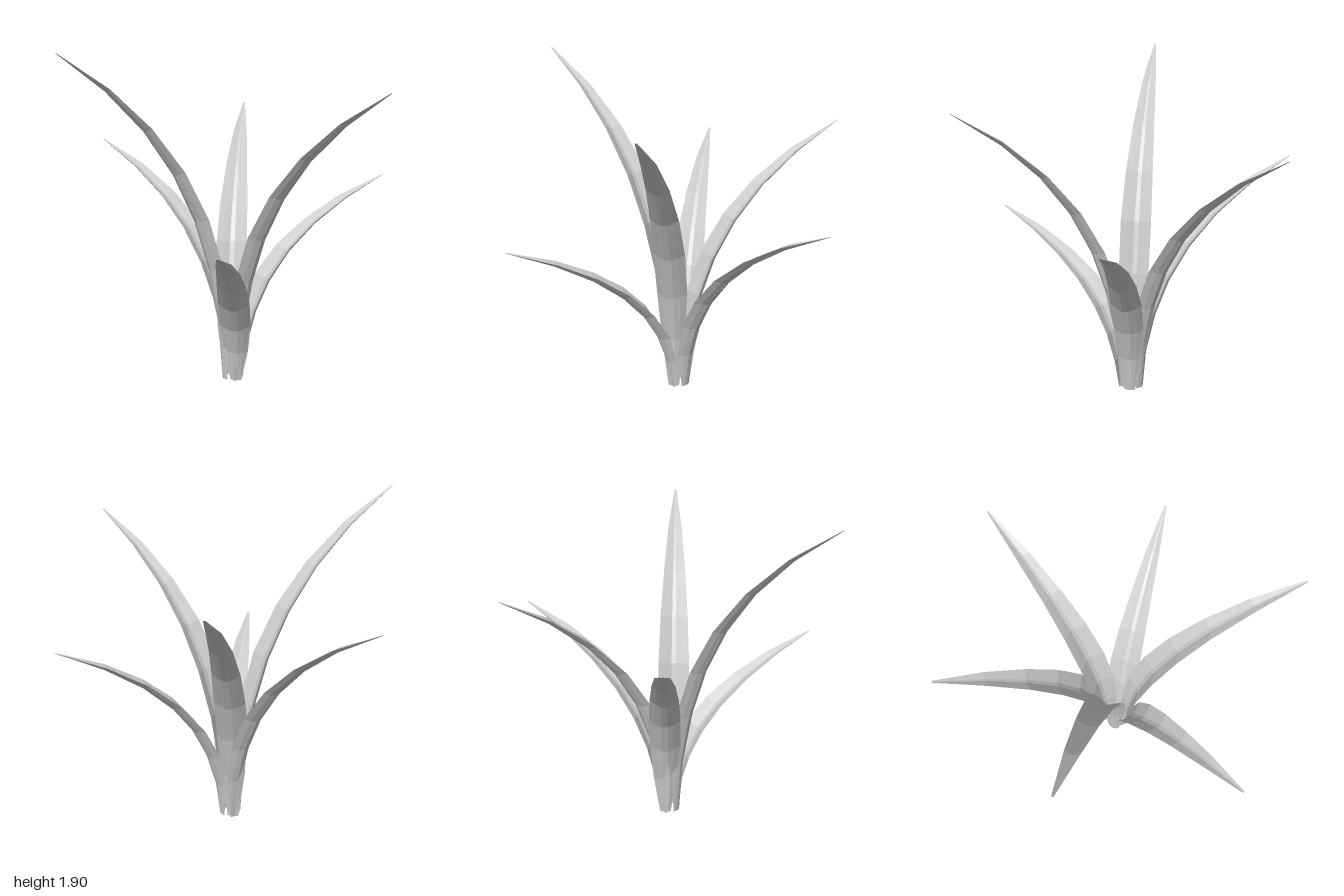
import * as THREE from 'three';

const SEGMENTS = 7;
// half width and trough depth at each station from base to tip
const WIDTH = [0.032, 0.07, 0.088, 0.09, 0.08, 0.063, 0.041, 0.006];
const DEPTH = [0.01, 0.035, 0.05, 0.05, 0.043, 0.032, 0.02, 0.002];
// crescent section: across the leaf, and towards its underside
const SECTION = [
  [-1, -0.5], [-0.6, 0.1], [-0.2, 0.5], [0.2, 0.5], [0.6, 0.1], [1, -0.5],
  [0.5, -0.1], [0.15, 0.2], [-0.15, 0.2], [-0.5, -0.1],
];

// centre line of a leaf: upright at the base, arching outwards
function spine(t, height) {
  return new THREE.Vector2(
    0.055 + 0.945 * Math.pow(t, 2.15),
    height * (1.32 * t * (1 - t) + t * t));
}

function leafGeometry(height) {
  const positions = [], index = [], n = SECTION.length;
  for (let i = 0; i <= SEGMENTS; i++) {
    const t = i / SEGMENTS, p = spine(t, height);
    const tangent = spine(Math.min(t + 0.01, 1), height)
      .sub(spine(Math.max(t - 0.01, 0), height)).normalize();
    for (const [u, v] of SECTION) {
      const d = v * DEPTH[i];
      positions.push(p.x + tangent.y * d, Math.max(0, p.y - tangent.x * d), u * WIDTH[i]);
    }
  }
  // skin between stations
  for (let i = 0; i < SEGMENTS; i++) {
    for (let j = 0; j < n; j++) {
      const a = i * n + j, b = i * n + (j + 1) % n;
      index.push(a, a + n, b, b, a + n, b + n);
    }
  }
  // end caps, bridging the underside to the trough
  const top = SEGMENTS * n, opposite = (k) => (n - k) % n;
  for (let k = 0; k < 5; k++) {
    const q = opposite(k + 1), r = opposite(k);
    index.push(k, k + 1, q, k, q, r);
    index.push(top + k, top + q, top + k + 1, top + k, top + r, top + q);
  }
  const geometry = new THREE.BufferGeometry();
  geometry.setAttribute('position', new THREE.Float32BufferAttribute(positions, 3));
  geometry.setIndex(index);
  geometry.computeVertexNormals();
  return geometry;
}

export function createModel() {
  const plant = new THREE.Group();
  plant.name = 'plant';
  const material = new THREE.MeshStandardMaterial({
    color: 0xcccccc, flatShading: true, side: THREE.DoubleSide,
  });
  // six leaves of different heights, every 60 degrees from +x towards +z
  [1.14, 1.71, 0.95, 1.9, 1.33, 1.52].forEach((height, i) => {
    const leaf = new THREE.Mesh(leafGeometry(height), material);
    leaf.name = 'leaf' + (i + 1);
    leaf.rotation.y = -i * Math.PI / 3;
    // the diagonal leaves are rooted closer together in front and behind
    if (i % 3 !== 0) {
      const angle = i * Math.PI / 3;
      leaf.position.set(-0.022 * Math.sign(Math.cos(angle)), 0, 0.008 * Math.sign(Math.sin(angle)));
    }
    plant.add(leaf);
  });
  return plant;
}
